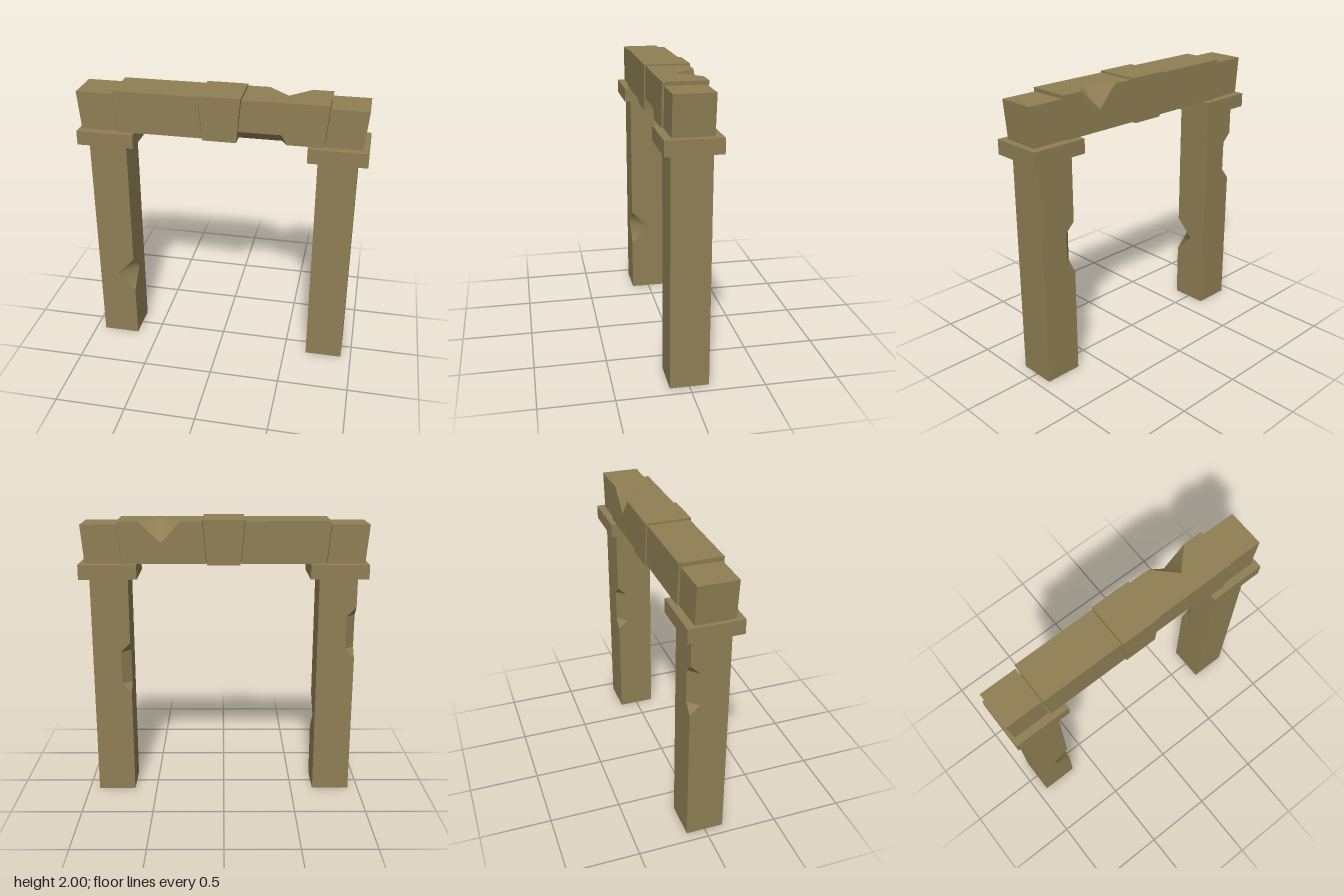
import * as THREE from 'three';
import { mergeGeometries } from 'three/addons/utils/BufferGeometryUtils.js';

const stone = new THREE.MeshStandardMaterial({ color: 0x8f7f54 });

// One surface patch: smooth inside if asked, always sharp towards its neighbours
function patch(points, index, smooth = false) {
  let g = new THREE.BufferGeometry().setFromPoints(points);
  g.setIndex(index);
  if (!smooth) g = g.toNonIndexed();
  else {
    // keep shared normals, then expand so that all patches can be merged
    g.computeVertexNormals();
    return g.toNonIndexed();
  }
  g.computeVertexNormals();
  return g;
}

// Square bar along t (0..length) with half sizes ha, hb. Chips are profiles
// [t, depth] cut from the (+a,+b) edge and the opposite (-a,-b) edge.
// place(a, b, t) puts a point into the model.
function chippedBar(name, ha, hb, length, place, chips = {}) {
  const corners = [[ha, hb], [-ha, hb], [-ha, -hb], [ha, -hb]];
  const at = (k, toward, [t, d]) => {
    const c = corners[k % 4], n = corners[toward % 4];
    return place(c[0] + Math.sign(n[0] - c[0]) * d, c[1] + Math.sign(n[1] - c[1]) * d, t);
  };
  const edge = (k) => {
    const chip = chips[k % 4] ?? [];
    return [...(chip[0]?.[0] === 0 ? [] : [[0, 0]]), ...chip, [length, 0]];
  };
  const parts = [];
  for (let k = 0; k < 4; k++) {
    // Side face between corner k and the next one
    const near = edge(k).reverse(), far = edge(k + 1);
    const width = k % 2 ? 2 * hb : 2 * ha;
    const flat = [
      ...far.map(([t, d]) => new THREE.Vector2(width - d, t)),
      ...near.map(([t, d]) => new THREE.Vector2(d, t)),
    ];
    const points = [...far.map((p) => at(k + 1, k, p)), ...near.map((p) => at(k, k + 1, p))];
    parts.push(patch(points, THREE.ShapeUtils.triangulateShape(flat, []).flat()));

    // Chip surface across the edge
    const chip = chips[k];
    if (!chip) continue;
    const pts = chip.flatMap((p) => [at(k, k + 3, p), at(k, k + 1, p)]);
    const index = [];
    for (let i = 0; i < chip.length - 1; i++) {
      const a = 2 * i, b = a + 1, c = a + 2, d = a + 3;
      if (chip[i][1] > 0) index.push(a, b, d);
      if (chip[i + 1][1] > 0) index.push(a, d, c);
    }
    // a pointed chip has one soft hollow, a long one has crisp facets
    const pointed = chip.length === 3 && chip[0][1] === 0;
    if (pointed) {
      // share the two tips' vertices and the crease
      parts.push(patch(pts, index, true));
    } else parts.push(patch(pts, index));
  }
  // End caps
  for (const t of [0, length]) {
    const loop = corners.flatMap((_, k) => {
      const d = t === 0 && chips[k]?.[0][0] === 0 ? chips[k][0][1] : 0;
      return d ? [at(k, k + 3, [t, d]), at(k, k + 1, [t, d])] : [at(k, k, [t, 0])];
    });
    if (t === 0) loop.reverse();
    const index = [];
    for (let i = 1; i < loop.length - 1; i++) index.push(0, i, i + 1);
    parts.push(patch(loop, index));
  }
  const mesh = new THREE.Mesh(mergeGeometries(parts), stone);
  mesh.name = name;
  return mesh;
}

const diamond = (t, r) => [[t - r, 0], [t, r], [t + r, 0]];
const slot = (t0, t1, d) => [[t0, 0], [t0 + d, d], [t1 - d, d], [t1, 0]];

export function createModel() {
  const group = new THREE.Group();
  group.name = 'stoneGateway';

  // Pillars with chipped edges, and their capitals
  const pillar = (name, x, chips) =>
    chippedBar(name, 0.1325, 0.1325, 1.6, (a, b, t) => new THREE.Vector3(x + b, t, a), chips);
  group.add(
    pillar('rightPillar', -0.795, { 0: diamond(0.532, 0.1325), 2: slot(1.02, 1.39, 0.066) }),
    pillar('leftPillar', 0.795, { 2: slot(0.76, 1.13, 0.066) }),
  );
  for (const s of [-1, 1]) {
    const capital = new THREE.Mesh(new THREE.BoxGeometry(0.4, 0.1, 0.37), stone);
    capital.name = s < 0 ? 'rightCapital' : 'leftCapital';
    capital.position.set(s * 0.796, 1.648, 0);
    group.add(capital);
  }

  // Lintel blocks: joints lean outwards towards the top
  const block = (name, x0, x1, y0, y1, hz, lean0, lean1, chips) => {
    const h = (y1 - y0) / 2, length = x1 - x0;
    const place = (a, b, t) =>
      new THREE.Vector3(x0 + t + b * THREE.MathUtils.lerp(lean0, lean1, t / length), y0 + h + b, -a);
    return chippedBar(name, hz, h, length, place, chips);
  };
  const k = 0.088;
  group.add(
    block('keystone', -0.129, 0.129, 1.69, 2.0, 0.156, -k, k),
    block('rightLintelBlock', -0.717, -0.134, 1.7, 1.99, 0.146, -k, -k),
    block('leftLintelBlock', 0.133, 0.712, 1.7, 1.99, 0.146, k, k, {
      0: diamond(0.293, 0.146),
      2: [[0, 0.067], [0.292, 0.067], [0.334, 0]],
    }),
    block('rightEndBlock', -0.983, -0.723, 1.7, 1.965, 0.1325, -k, -k),
    block('leftEndBlock', 0.714, 0.966, 1.7, 1.965, 0.1325, k, k),
  );
  return group;
}
